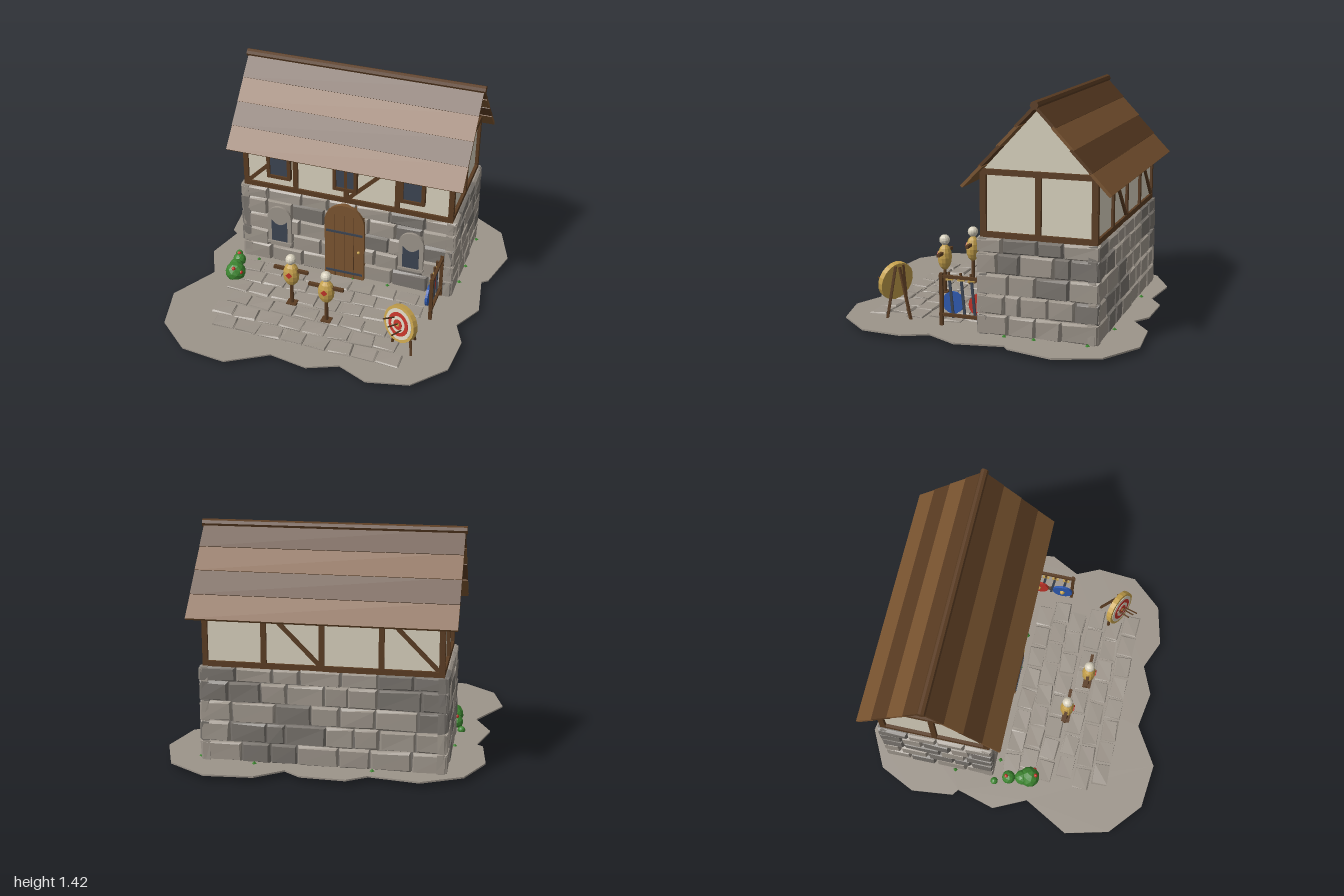
import * as THREE from 'three';
import { mergeGeometries } from 'three/addons/utils/BufferGeometryUtils.js';

const mat = (name, color) => Object.assign(new THREE.MeshStandardMaterial({ color, flatShading: true }), { name });
const darkWood = mat('dark wood', 0x5a3c22), oak = mat('oak', 0x7a5430), plaster = mat('plaster', 0xd6cfbc);
const stone = mat('pale stone', 0x9c948a), slate = mat('dark stone', 0x78736d), iron = mat('glass and iron', 0x3c4452);
const red = mat('red', 0xbf3328), green = mat('leaf green', 0x3c8430), straw = mat('straw', 0xc4a04c), blue = mat('blue', 0x2d58ae);

let seed = 11;
const rnd = (a = 0, b = 1) => {
  seed = (seed * 16807) % 2147483647;
  return a + (b - a) * seed / 2147483647;
};

export function createModel() {
  const root = new THREE.Group();
  root.name = 'guardHouse';
  const add = (name, geo, m, x = 0, y = 0, z = 0, parent = root) => {
    const mesh = new THREE.Mesh(geo, m);
    mesh.name = name;
    mesh.position.set(x, y, z);
    parent.add(mesh);
    return mesh;
  };
  const group = (name, x = 0, y = 0, z = 0, parent = root) => {
    const g = new THREE.Group();
    g.name = name;
    g.position.set(x, y, z);
    parent.add(g);
    return g;
  };
  const box = (name, w, h, d, m, x, y, z, parent) => add(name, new THREE.BoxGeometry(w, h, d), m, x, y, z, parent);
  // Square bar running between two points
  const bar = (name, a, b, w, d, m, parent) => {
    const p = new THREE.Vector3(...a), q = new THREE.Vector3(...b), dir = q.clone().sub(p);
    const mesh = box(name, w, dir.length(), d, m, 0, 0, 0, parent);
    mesh.position.copy(p).add(q).multiplyScalar(0.5);
    mesh.quaternion.setFromUnitVectors(new THREE.Vector3(0, 1, 0), dir.normalize());
    return mesh;
  };
  // Rough block: outer (+z) face drawn in, corners shifted a little
  const block = (w, h, d, inset, jitter) => {
    const g = new THREE.BoxGeometry(w, h, d, 1, 1, 2), p = g.attributes.position, shifts = {};
    for (let i = 0; i < p.count; i++) {
      const x = p.getX(i), y = p.getY(i), z = p.getZ(i);
      const k = [x > 0, y > 0, z.toFixed(3)].join();
      const s = shifts[k] ??= [rnd(-jitter, jitter), rnd(-jitter, jitter), rnd(-jitter, jitter)];
      const t = z > 0.001 ? inset : 0;
      p.setXYZ(i, x - Math.sign(x) * t + s[0], y - Math.sign(y) * t + s[1], (t ? z : z + d * 0.2 * (z > -0.001)) + s[2]);
    }
    const out = g.toNonIndexed();
    out.computeVertexNormals();
    return out;
  };
  // Arched outline standing on y = 0
  const arch = (w, h) => {
    const s = new THREE.Shape(), r = w / 2;
    s.moveTo(-r, 0);
    s.lineTo(r, 0);
    s.lineTo(r, h - r);
    s.absarc(0, h - r, r, 0, Math.PI, false);
    return s;
  };
  const extrude = (shape, depth) => new THREE.ExtrudeGeometry(shape, { depth, bevelEnabled: false, curveSegments: 10 });

  // Ground slab with a wavy outline
  const outline = [[-.83, -.78], [-.59, -.9], [-.29, -.86], [-.17, -.94], [.1, -.93], [.2, -.86], [.36, -.98], [.65, -1],
    [.89, -.85], [.99, -.58], [.92, -.3], [.88, -.27], [.93, .02], [.83, .21], [.9, .36], [.88, .62], [.7, .82], [.44, .88],
    [.25, .8], [.06, .88], [-.18, .84], [-.43, .99], [-.72, .96], [-.93, .78], [-1, .5], [-.84, .21], [-.94, 0],
    [-.87, -.25], [-.91, -.28], [-.94, -.55]];
  const ground = extrude(new THREE.Shape(outline.map(([x, z]) => new THREE.Vector2(x, -z))), 0.01);
  add('ground', ground.rotateX(-Math.PI / 2), stone, 0, 0.033, 0);

  // Paving in six staggered rows
  const paving = [];
  [0.06, 0.17, 0.285, 0.415, 0.535, 0.655].forEach((z, row) => {
    for (let x = -0.62 + (row % 2) * 0.055; x < 0.62; x += 0.155) {
      const g = block(0.14, 0.105, 0.02, 0.005, 0.005);
      paving.push(g.rotateX(-Math.PI / 2).rotateY(rnd(-.07, .07)).translate(x, 0.044, z));
    }
  });
  add('paving', mergeGeometries(paving), stone);

  // Stone ground floor: dark core faced with rough blocks in five courses
  box('wallCore', 1.39, 0.585, 0.67, slate, 0, 0.3225, -0.41);
  const pale = [], dark = [];
  const wallSides = [[1.46, 0, 0.365, 0.31], [1.46, Math.PI, 0.365, 0.31], [0.74, Math.PI / 2, 0.73, 0.675], [0.74, -Math.PI / 2, 0.73, 0.675]];
  for (const [len, turn, out] of wallSides) {
    for (let c = 0; c < 5; c++) {
      const h = c === 4 ? 0.085 : 0.117, y = 0.1 + c * 0.123 - (c === 4 ? 0.017 : 0);
      const n = Math.round(len / 0.2) + (c % 2), cuts = [-len / 2];
      for (let i = 1; i < n; i++) cuts.push(-len / 2 + (len * (i + rnd(-.22, .22))) / n);
      cuts.push(len / 2);
      for (let i = 0; i < n; i++) {
        const g = block(cuts[i + 1] - cuts[i] - 0.008, h, 0.06, 0.009, 0.004);
        g.rotateZ(rnd(-.015, .015)).translate((cuts[i] + cuts[i + 1]) / 2, y, out - 0.03).rotateY(turn).translate(0, 0, -0.41);
        (rnd() < 0.62 ? pale : dark).push(g);
      }
    }
  }
  add('paleBlocks', mergeGeometries(pale), stone);
  add('darkBlocks', mergeGeometries(dark), slate);

  // Arched door with plank seams, iron bands and a knob
  const door = group('door', 0, 0.03, -0.08);
  add('doorLeaf', extrude(arch(0.27, 0.585), 0.055), oak, 0, 0, 0, door);
  for (const x of [-.065, 0, .065]) box('plankSeam', 0.004, 0.5, 0.002, darkWood, x, 0.26, 0.056, door);
  for (const y of [.055, .375]) box('doorBand', 0.25, 0.016, 0.006, iron, 0, y, 0.057, door);
  add('doorKnob', new THREE.IcosahedronGeometry(0.01, 1), straw, 0.1, 0.24, 0.06, door);

  // Arched ground-floor windows; the glass top dips in the middle
  for (const x of [-.455, .45]) {
    const w = group('archedWindow', x, 0.215, -0.07);
    add('windowSurround', extrude(arch(0.165, 0.285), 0.042), stone, 0, 0, 0, w);
    const pane = new THREE.Shape();
    pane.moveTo(-.055, .015);
    pane.lineTo(.055, .015);
    pane.lineTo(.055, .18);
    pane.quadraticCurveTo(0, .11, -.055, .18);
    add('windowPane', extrude(pane, 0.004), iron, 0, 0, 0.041, w);
    box('windowSill', 0.17, 0.018, 0.05, stone, 0, 0, 0.024, w);
  }

  // Plastered upper floor with gables
  const end = new THREE.Shape([[-.335, .62], [.335, .62], [.335, 1.01], [0, 1.375], [-.335, 1.01]].map(p => new THREE.Vector2(...p)));
  add('plasterWalls', extrude(end, 1.37).rotateY(Math.PI / 2), plaster, -0.685, 0, -0.41);

  // Timber frame, the same on front and back
  const frame = group('timberFrame', 0, 0, -0.41);
  for (const s of [-1, 1]) {
    const z = s * 0.335;
    for (const y of [.635, 1.0]) box('longBeam', 1.41, 0.033, 0.03, darkWood, 0, y, z, frame);
    for (const x of [-.688, -.345, 0, .34, .688]) box('post', 0.032, 0.36, 0.03, darkWood, x, 0.815, z, frame);
    for (const x of [-.67, .015]) bar('brace', [x, .655, z], [x + .31, .97, z], 0.024, 0.026, darkWood, frame);
    for (const y of [.635, 1.0]) box('endBeam', 0.03, 0.033, 0.69, darkWood, s * 0.69, y, 0, frame);
    for (const e of [-.33, 0, .33]) box('endPost', 0.03, 0.36, 0.034, darkWood, s * 0.69, 0.815, e, frame);
  }

  // Upper windows
  for (const x of [-.455, -.005, .44]) {
    const w = group('upperWindow', x, 0.82, -0.06);
    box('windowGlass', 0.135, 0.18, 0.02, iron, 0, 0, -0.005, w);
    for (const s of [-1, 1]) {
      box('windowJamb', 0.022, 0.21, 0.032, darkWood, s * 0.07, 0, 0, w);
      box('windowRail', 0.16, 0.022, 0.032, darkWood, 0, s * 0.095, 0, w);
    }
    if (x > -.1 && x < .1) box('mullion', 0.018, 0.18, 0.02, darkWood, 0.005, 0, 0, w);
  }

  // Roof of overlapping boards, alternating in colour
  const pitch = Math.atan2(0.475, 0.43);
  for (const s of [-1, 1]) {
    for (let i = 0; i < 4; i++) {
      const t = (i + 0.5) / 4;
      const b = box('roofBoard', 1.55, 0.018, 0.175, i % 2 ? darkWood : oak, -0.003, 0.922 + 0.475 * t, -0.41 + s * 0.43 * (1 - t));
      b.rotation.x = s * (pitch - 0.03);
    }
  }
  add('ridgePole', new THREE.CylinderGeometry(0.025, 0.025, 1.57, 8).rotateZ(Math.PI / 2), darkWood, -0.003, 1.4, -0.41);

  // Training dummies
  for (const [x, z] of [[-.228, .348], [.04, .44]]) {
    const d = group('trainingDummy', x, 0, z);
    box('dummyBase', 0.065, 0.03, 0.055, darkWood, 0, 0.045, 0, d);
    add('dummyPost', new THREE.CylinderGeometry(0.012, 0.012, 0.34, 6), darkWood, 0, 0.21, 0, d);
    box('dummyArms', 0.23, 0.02, 0.02, darkWood, 0, 0.322, 0, d);
    add('dummyBody', new THREE.SphereGeometry(1, 12, 8).scale(0.054, 0.086, 0.045), straw, 0, 0.288, 0, d);
    add('dummyHead', new THREE.SphereGeometry(0.035, 12, 8), plaster, 0, 0.403, 0, d);
    box('dummyMark', 0.03, 0.03, 0.006, red, 0, 0.303, 0.045, d).rotation.z = Math.PI / 4;
  }

  // Archery target on three legs
  const stand = group('archeryTarget', 0.556, 0, 0.55);
  stand.rotation.y = -0.46;
  for (const s of [-1, 1]) bar('frontLeg', [s * .03, .36, -.04], [s * .08, .04, -.015], 0.015, 0.015, darkWood, stand);
  bar('backLeg', [0, .35, -.04], [0, .04, -.14], 0.015, 0.015, darkWood, stand);
  const butt = group('targetFace', 0, 0.26, 0, stand);
  butt.rotation.x = -0.2;
  [[.12, straw], [.101, plaster], [.078, red], [.053, plaster], [.033, red], [.012, straw]].forEach(([r, m], i) => {
    const depth = i ? 0.004 : 0.036;
    add('targetRing', new THREE.CylinderGeometry(r, r, depth, 20).rotateX(Math.PI / 2), m, 0, 0, i ? 0.017 + i * 0.0025 : 0, butt);
  });
  for (const [x, y] of [[0, .005], [-.035, .03], [.03, -.025]]) {
    bar('arrow', [x, y, 0.01], [x * 1.3, y * 1.3 + .01, .12], 0.007, 0.007, darkWood, butt);
  }

  // Weapon rack with swords and shields
  const rack = group('weaponRack', 0.655, 0, 0.075);
  for (const z of [-.125, .13]) box('rackPost', 0.022, 0.33, 0.02, darkWood, 0, 0.2, z, rack);
  for (const y of [.11, .345]) box('rackRail', 0.018, 0.018, 0.29, darkWood, 0, y, 0, rack);
  for (const z of [-.065, 0, .075]) {
    const sword = group('sword', -0.015, 0.23, z, rack);
    sword.rotation.x = 0.1;
    box('swordBlade', 0.008, 0.24, 0.016, iron, 0, -0.02, 0, sword);
    box('swordGuard', 0.014, 0.01, 0.045, straw, 0, 0.095, 0, sword);
    box('swordGrip', 0.012, 0.04, 0.012, darkWood, 0, 0.12, 0, sword);
  }
  for (const [z, m] of [[.068, blue], [-.1, red]]) {
    add('shield', new THREE.CylinderGeometry(0.068, 0.068, 0.016, 16).rotateZ(Math.PI / 2), m, -0.032, 0.18, z, rack);
    add('shieldBoss', new THREE.SphereGeometry(0.018, 8, 6), straw, -0.04, 0.18, z, rack);
  }

  // Bushes with berries, and tufts along the walls
  for (const [x, y, z, r] of [[-.69, .078, .195, .068], [-.705, .085, .15, .05], [-.72, .072, .06, .045], [-.76, .05, -.03, .025]]) {
    add('bush', new THREE.IcosahedronGeometry(r, 1), green, x, y, z).rotation.set(x * 7, z * 9, 0.4);
  }
  for (const [x, y, z] of [[-.685, .13, .235], [-.725, .112, .045], [-.64, .1, .22]]) {
    add('berry', new THREE.IcosahedronGeometry(0.013, 1), red, x, y, z);
  }
  for (const [x, z] of [[-.61, -.02], [.06, -.03], [.3, -.03], [.74, -.22], [.74, -.4], [.74, -.72], [-.74, -.3], [-.3, -.79], [.4, -.79]]) {
    add('grassTuft', new THREE.OctahedronGeometry(0.028), green, x, 0.03, z);
  }
  return root;
}
